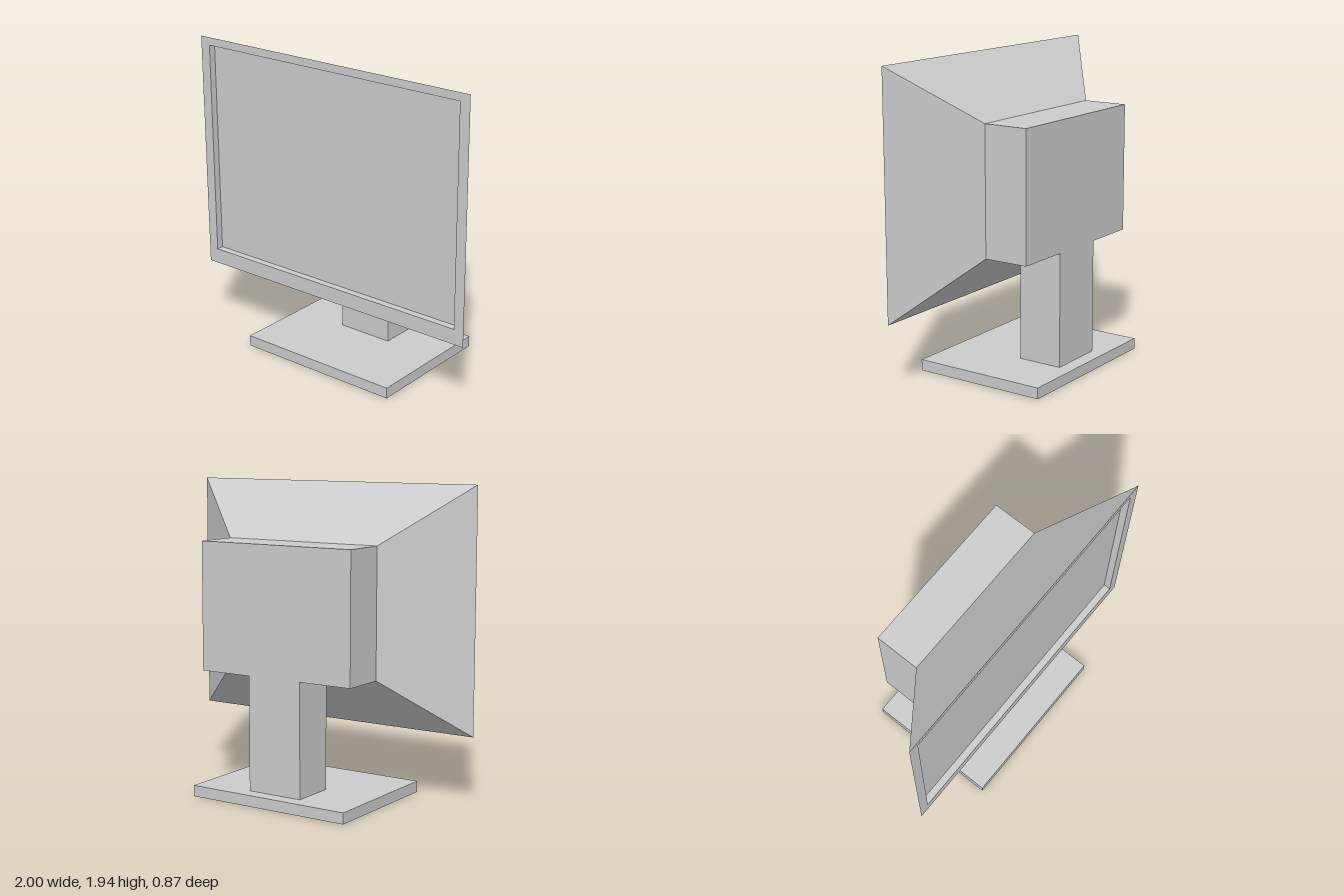
import * as THREE from 'three';

// Skin between successive rectangular rings [halfWidth, bottom, top, z]
function loft(rings) {
  const pos = [];
  const corners = ([x, y0, y1, z]) => [[-x, y0, z], [x, y0, z], [x, y1, z], [-x, y1, z]];
  for (let r = 0; r + 1 < rings.length; r++) {
    const a = corners(rings[r]), b = corners(rings[r + 1]);
    for (let i = 0; i < 4; i++) {
      const j = (i + 1) % 4;
      pos.push(...a[i], ...b[i], ...b[j], ...a[i], ...b[j], ...a[j]);
    }
  }
  const geo = new THREE.BufferGeometry();
  geo.setAttribute('position', new THREE.Float32BufferAttribute(pos, 3));
  geo.computeVertexNormals();
  return geo;
}

export function createModel() {
  const group = new THREE.Group();
  const grey = new THREE.MeshStandardMaterial({ color: 0xcccccc });
  grey.name = 'light grey';

  const add = (name, geo) => {
    const mesh = new THREE.Mesh(geo, grey);
    mesh.name = name;
    group.add(mesh);
    return mesh;
  };
  const box = (name, halfX, y0, y1, z0, z1) =>
    add(name, new THREE.BoxGeometry(halfX * 2, y1 - y0, z1 - z0))
      .position.set(0, (y0 + y1) / 2, (z0 + z1) / 2);

  const front = 0.308, neck = -0.055, back = -0.342, recess = 0.045;
  const outer = [1, 0.431, 1.936, front];
  const inner = [0.933, 0.528, 1.886, front];
  const screenRing = [0.933, 0.528, 1.886, front - recess];
  const rear = [0.536, 0.782, 1.583, neck];

  // Recessed screen
  const screen = add('screen', new THREE.PlaneGeometry(0.933 * 2, 1.886 - 0.528));
  screen.position.set(0, (1.886 + 0.528) / 2, front - recess);

  // Recess walls and flat front frame
  add('bezel', loft([screenRing, inner, outer]));

  // Tapering shell behind the frame
  add('taperedShell', loft([outer, rear]));

  // Rear housing, stand and foot
  box('rearHousing', 0.536, 0.782, 1.583, back, neck);
  box('standColumn', 0.185, 0.069, 0.782, back, neck);
  box('base', 0.55, 0, 0.069, -0.433, 0.433);

  return group;
}
